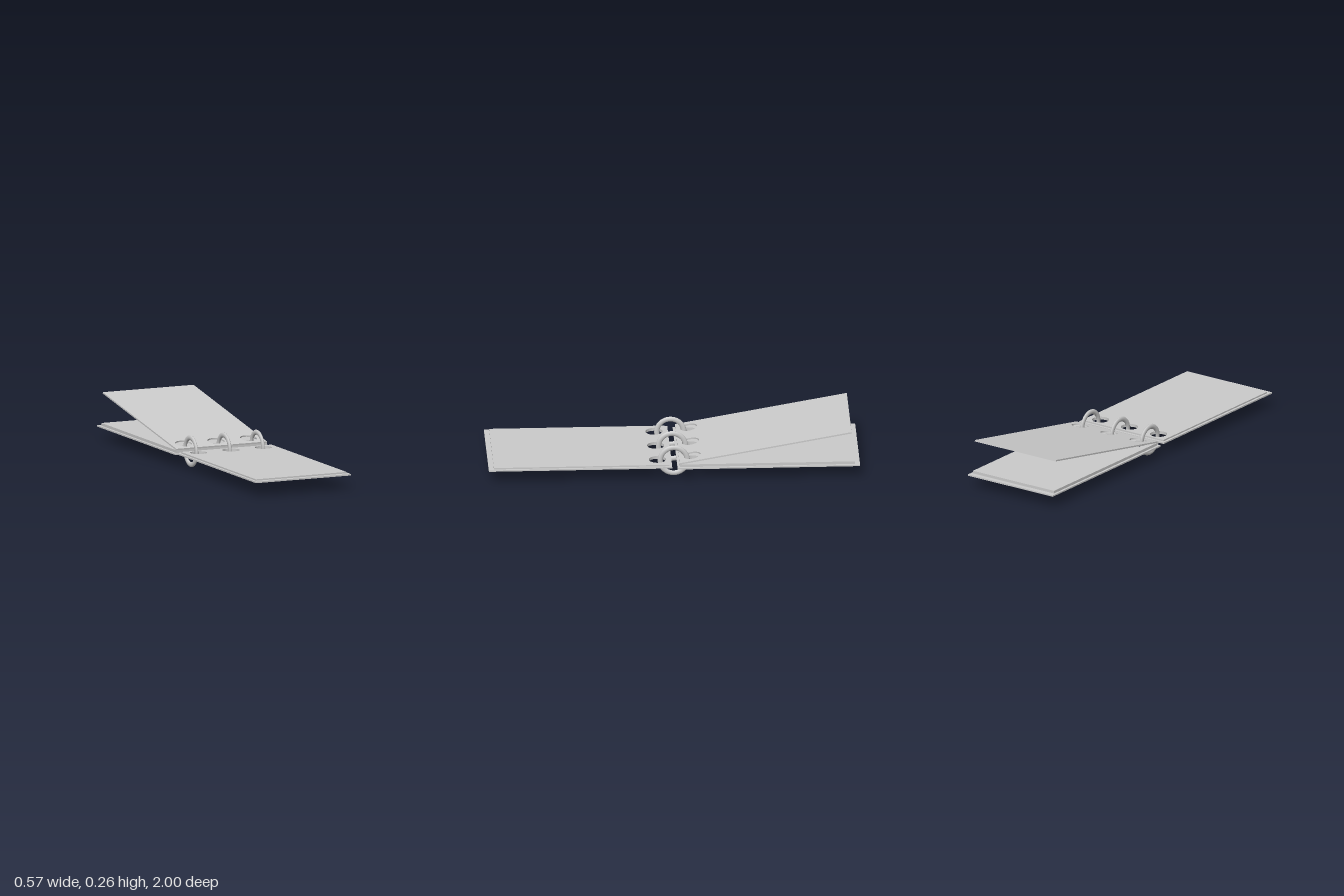
import * as THREE from 'three';

const grey = new THREE.MeshStandardMaterial({ color: 0xcccccc });
const HOLE_X = [-0.193, 0, 0.193];
const HOLE_R = 0.046;

// Flat sheet from z0 to z1 with three punched holes, bottom face on y = 0
function punchedSheet(name, halfWidth, z0, z1, holeZ, thickness) {
  const shape = new THREE.Shape([
    new THREE.Vector2(-halfWidth, -z1),
    new THREE.Vector2(halfWidth, -z1),
    new THREE.Vector2(halfWidth, -z0),
    new THREE.Vector2(-halfWidth, -z0),
  ]);
  for (const x of HOLE_X) {
    const hole = new THREE.Path();
    hole.absarc(x, -holeZ, HOLE_R, 0, Math.PI * 2, true);
    shape.holes.push(hole);
  }
  const geometry = new THREE.ExtrudeGeometry(shape, {
    depth: thickness, bevelEnabled: false, curveSegments: 20,
  });
  geometry.rotateX(-Math.PI / 2);
  const mesh = new THREE.Mesh(geometry, grey);
  mesh.name = name;
  return mesh;
}

export function createModel() {
  const model = new THREE.Group();
  model.name = 'ringNotebook';

  // Covers
  const frontCover = punchedSheet('frontCover', 0.283, 0.012, 1, 0.088, 0.008);
  frontCover.position.y = 0.077;
  const backCover = punchedSheet('backCover', 0.283, -1, -0.017, -0.1, 0.008);
  backCover.position.y = 0.07;

  // Pages lying on the covers
  const frontPages = punchedSheet('frontPages', 0.27, 0.027, 0.972, 0.088, 0.008);
  frontPages.position.y = 0.085;
  const backPages = punchedSheet('backPages', 0.27, -0.972, -0.03, -0.1, 0.015);
  backPages.position.y = 0.078;

  // Page lifted about its bound edge
  const liftedPage = punchedSheet('liftedPage', 0.27, -0.94, 0, -0.072, 0.008);
  liftedPage.position.set(0, 0.093, -0.03);
  liftedPage.rotation.x = THREE.MathUtils.degToRad(10);

  model.add(frontCover, backCover, frontPages, backPages, liftedPage);

  // Binding rings, slightly flattened along their axis
  const ringGeometry = new THREE.TorusGeometry(0.073, 0.014, 12, 40);
  ringGeometry.scale(1, 1, 0.6);
  ringGeometry.rotateY(Math.PI / 2);
  for (const x of [-0.198, 0, 0.197]) {
    const ring = new THREE.Mesh(ringGeometry, grey);
    ring.name = 'bindingRing';
    ring.position.set(x, 0.088, 0);
    model.add(ring);
  }
  return model;
}
